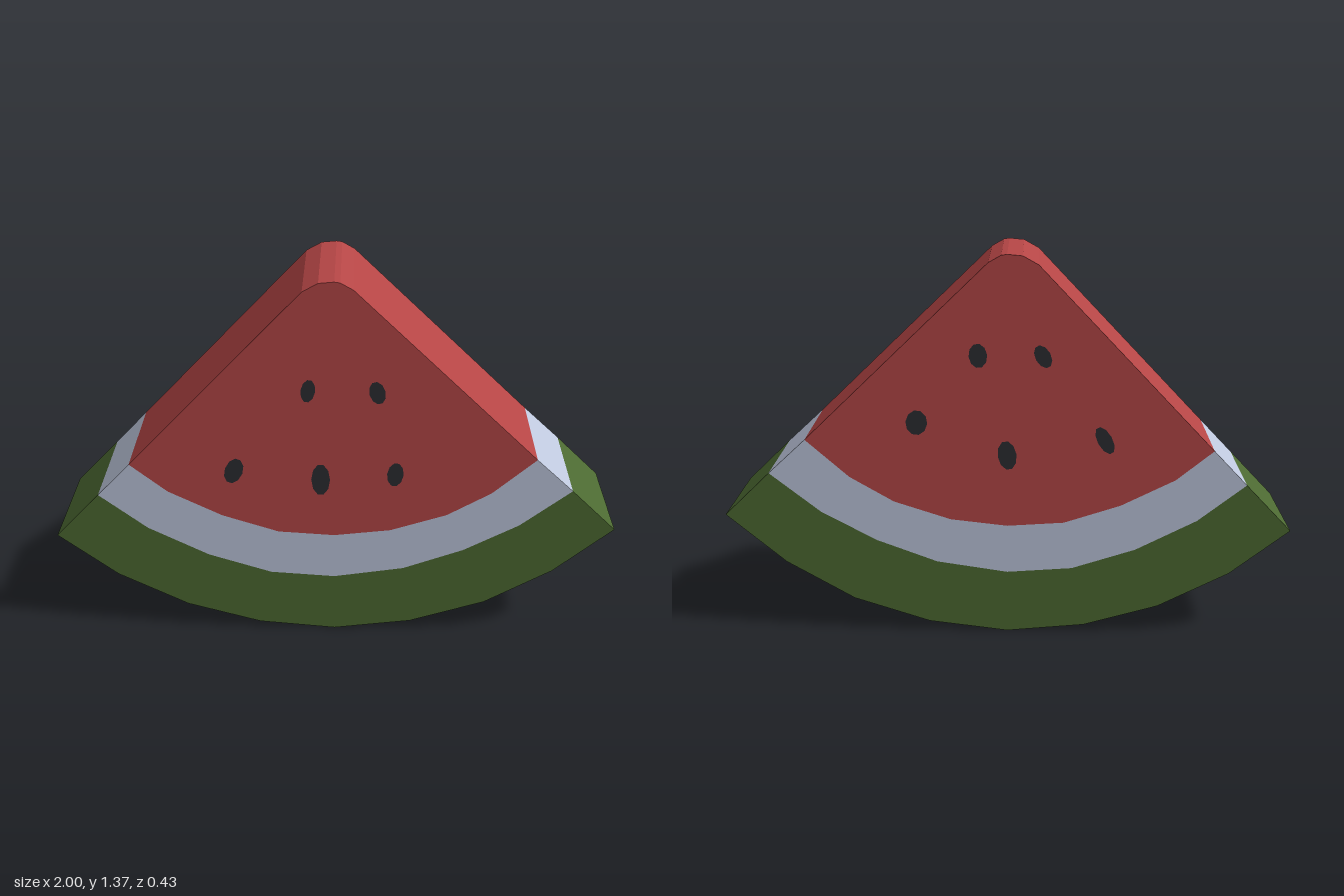
import * as THREE from 'three';

const HALF = 0.21; // half thickness of the slice

// Curves running from the -x cut edge to the +x cut edge
const skinCurve = [[-1, 0.39], [-0.79, 0.227], [-0.54, 0.1], [-0.275, 0.025], [0, 0], [0.28, 0.035], [0.55, 0.122], [0.79, 0.26], [1, 0.437]];
const rindCurve = [[-0.84, 0.558], [-0.67, 0.425], [-0.455, 0.315], [-0.23, 0.243], [0, 0.227], [0.25, 0.265], [0.465, 0.345], [0.66, 0.45], [0.84, 0.592]];
const fleshCurve = [[-0.722, 0.682], [-0.59, 0.575], [-0.4, 0.48], [-0.2, 0.415], [0, 0.402], [0.2, 0.425], [0.4, 0.49], [0.555, 0.58], [0.708, 0.715]];
const tipCurve = [[-0.107, 1.33], [-0.053, 1.36], [0, 1.365], [0.02, 1.362], [0.064, 1.337]];

// Seeds: x, y, x radius, y radius, lean towards +x
const frontSeeds = [
  [-0.09, 0.973, 0.025, 0.043, 0.15],
  [0.147, 0.968, 0.028, 0.043, -0.25],
  [-0.353, 0.662, 0.032, 0.051, 0.35],
  [-0.048, 0.63, 0.033, 0.062, 0],
  [0.214, 0.653, 0.029, 0.047, 0.1],
];
const backSeeds = [
  [0.1, 1.018, 0.032, 0.043, 0.1],
  [-0.123, 1.016, 0.027, 0.043, 0.5],
  [0.315, 0.78, 0.038, 0.045, -0.1],
  [0, 0.663, 0.033, 0.053, 0.15],
  [-0.34, 0.719, 0.026, 0.054, 0.5],
];

// Straight band between a lower and an upper curve
function band(name, lower, upper, material) {
  const outline = [...lower, ...[...upper].reverse()];
  const shape = new THREE.Shape(outline.map(([x, y]) => new THREE.Vector2(x, y)));
  const geometry = new THREE.ExtrudeGeometry(shape, { depth: HALF * 2, bevelEnabled: false });
  geometry.translate(0, 0, -HALF);
  const mesh = new THREE.Mesh(geometry, material);
  mesh.name = name;
  return mesh;
}

// Thin painted seeds on one cut face; side is 1 for front, -1 for back
function seeds(name, list, side, material) {
  const group = new THREE.Group();
  group.name = name;
  for (const [x, y, rx, ry, lean] of list) {
    const geometry = new THREE.CircleGeometry(1, 10);
    geometry.scale(rx, ry, 1);
    if (side < 0) geometry.rotateY(Math.PI);
    geometry.rotateZ(-lean);
    const seed = new THREE.Mesh(geometry, material);
    seed.name = 'seed';
    seed.position.set(x, y, side * (HALF + 0.003));
    group.add(seed);
  }
  return group;
}

export function createModel() {
  const paint = (name, color) => {
    const material = new THREE.MeshStandardMaterial({ color });
    material.name = name;
    return material;
  };
  const red = paint('flesh red', 0xb64646);
  const pale = paint('pale rind', 0xbfc8de);
  const green = paint('skin green', 0x4d6a32);
  const dark = paint('seed black', 0x2b2d32);

  const model = new THREE.Group();
  model.name = 'watermelonSlice';
  model.add(
    band('skin', skinCurve, rindCurve, green),
    band('rind', rindCurve, fleshCurve, pale),
    band('flesh', fleshCurve, tipCurve, red),
    seeds('frontSeeds', frontSeeds, 1, dark),
    seeds('backSeeds', backSeeds, -1, dark),
  );
  return model;
}
